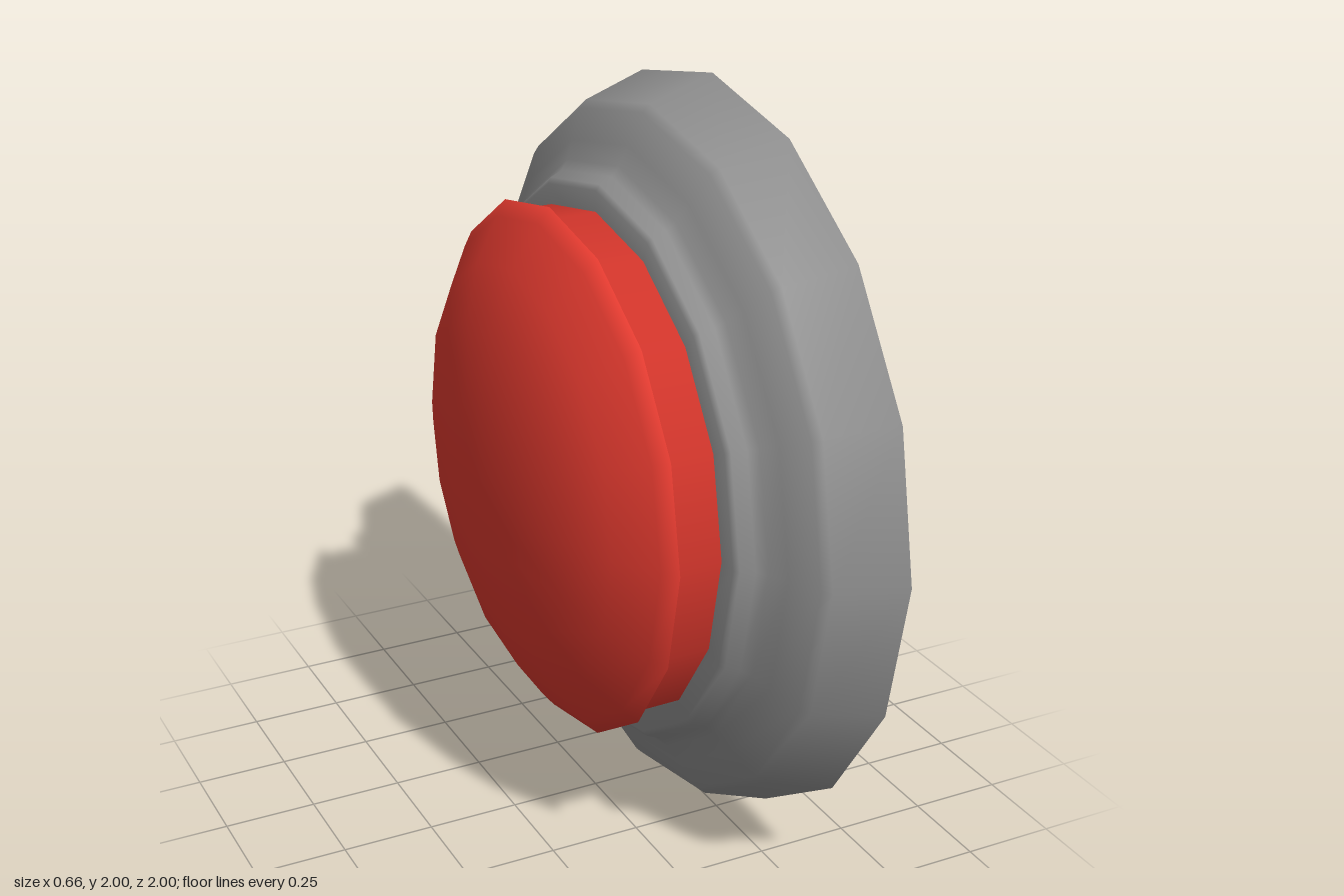
import * as THREE from 'three';

const SIDES = 16;

// Soft normals for a profile: each corner averages its two neighbouring segments equally.
function profileNormals(profile) {
  const segments = profile.slice(1).map(([x, r], i) =>
    new THREE.Vector2(r - profile[i][1], profile[i][0] - x).normalize());
  return profile.map((_, i) => {
    const before = segments[Math.max(i - 1, 0)];
    const after = segments[Math.min(i, segments.length - 1)];
    return before.clone().add(after).normalize();
  });
}

// Revolve a profile of [x, radius] pairs, running from +x to -x, around the x axis.
function turned(name, profile, color) {
  const points = profile.map(([x, r]) => new THREE.Vector2(r, -x));
  const geometry = new THREE.LatheGeometry(points, SIDES);
  geometry.rotateZ(Math.PI / 2);

  // Round the shading over every edge, including the flat faces
  const soft = profileNormals(profile);
  const { position, normal } = geometry.attributes;
  for (let i = 0; i < position.count; i++) {
    const n = soft[i % profile.length];
    const angle = Math.atan2(position.getZ(i), position.getY(i));
    normal.setXYZ(i, n.x, n.y * Math.cos(angle), n.y * Math.sin(angle));
  }

  const mesh = new THREE.Mesh(geometry, new THREE.MeshStandardMaterial({ color }));
  mesh.name = name;
  return mesh;
}

export function createModel() {
  const button = new THREE.Group();
  button.name = 'pushButton';

  // Flared mounting base with a flat back and a stepped collar
  button.add(turned('base', [
    [0.328, 0], [0.328, 1], [0.15, 0.94], [0.13, 0.92],
    [0.09, 0.84], [0.065, 0.79], [0.045, 0.765], [0.01, 0.75], [0, 0.735], [0, 0.6],
  ], 0x969696));

  // Plunger, overhanging cap underside and dome with a small flat crown
  button.add(turned('plungerCap', [
    [0.02, 0], [0.02, 0.68], [-0.128, 0.68], [-0.128, 0.71],
    [-0.16, 0.67], [-0.235, 0.56], [-0.285, 0.43], [-0.333, 0.21], [-0.333, 0],
  ], 0xe53b30));

  button.position.y = 1;
  const model = new THREE.Group();
  model.add(button);
  return model;
}
